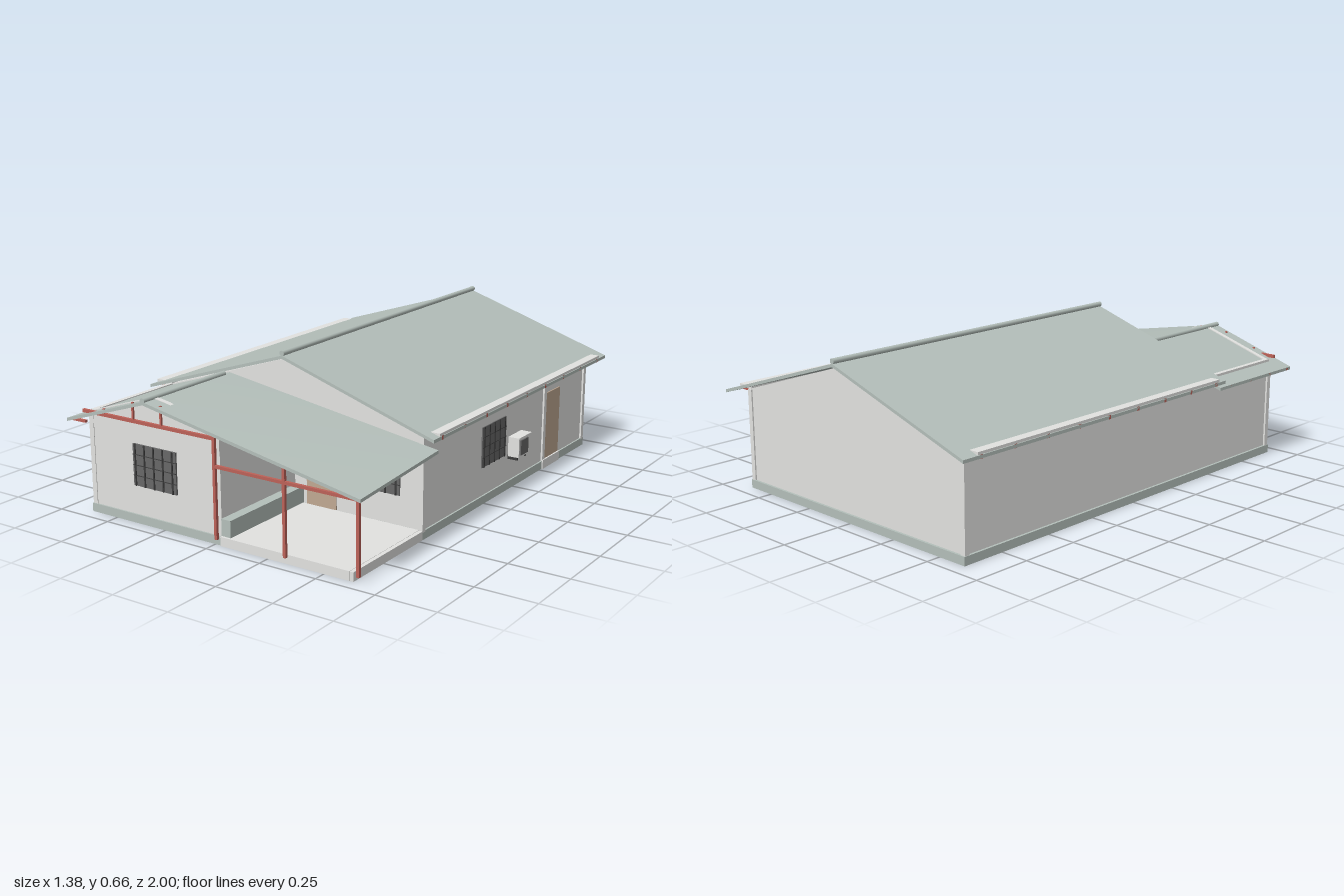
import * as THREE from 'three';

const mat = (name, color, side = THREE.FrontSide) => {
  const m = new THREE.MeshStandardMaterial({ color, side });
  m.name = name;
  return m;
};

export function createModel() {
  const house = new THREE.Group();
  house.name = 'house';
  const wall = mat('wall plaster', 0xe2e2e0);
  const roof = mat('grey green roof', 0xb4bfba);
  const steel = mat('red steel', 0xbc6258);
  const wood = mat('door wood', 0xc0a892);
  const glass = mat('dark glass', 0x686868);
  const bar = mat('window bar', 0x3c3c3c);

  const add = (name, geo, m, parent = house) => {
    const mesh = new THREE.Mesh(geo, m);
    mesh.name = name;
    parent.add(mesh);
    return mesh;
  };
  // Box given by its lower and upper limits on each axis
  const box = (name, m, x0, x1, y0, y1, z0, z1, parent) => {
    const g = new THREE.BoxGeometry(x1 - x0, y1 - y0, z1 - z0);
    g.translate((x0 + x1) / 2, (y0 + y1) / 2, (z0 + z1) / 2);
    return add(name, g, m, parent);
  };
  // Upright outline in x, y extruded from z0 to z1
  const prism = (name, m, pts, z0, z1) => {
    const shape = new THREE.Shape(pts.map(p => new THREE.Vector2(...p)));
    const g = new THREE.ExtrudeGeometry(shape, { depth: z1 - z0, bevelEnabled: false });
    g.translate(0, 0, z0);
    return add(name, g, m);
  };
  // Roof sheet: heights at the corners [left back, right back, left front, right front]
  const sheet = (name, x0, x1, z0, z1, h, t = 0.013) => {
    const g = new THREE.BoxGeometry(1, 1, 1);
    const p = g.attributes.position;
    for (let i = 0; i < p.count; i++) {
      const r = p.getX(i) > 0, f = p.getZ(i) > 0;
      const top = h[(r ? 1 : 0) + (f ? 2 : 0)];
      p.setXYZ(i, r ? x1 : x0, p.getY(i) > 0 ? top : top - t, f ? z1 : z0);
    }
    g.computeVertexNormals();
    return add(name, g, roof);
  };
  const ridge = (name, x, y, z0, z1) => {
    const g = new THREE.CylinderGeometry(0.011, 0.011, z1 - z0, 12);
    g.rotateX(Math.PI / 2);
    add(name, g, roof).position.set(x, y, (z0 + z1) / 2);
  };

  // Main body and front room
  prism('mainBody', wall, [[-0.62, 0.01], [0.62, 0.01], [0.62, 0.42], [0, 0.622], [-0.62, 0.42]], -0.93, 0.473);
  box('frontRoom', wall, -0.62, 0.025, 0.01, 0.385, 0.47, 0.938);
  box('frontRoomLeftWall', wall, -0.62, -0.6, 0.38, 0.426, 0.47, 0.935);
  box('frontRoomRightWall', wall, 0.005, 0.027, 0.03, 0.448, 0.47, 0.938);
  prism('frontRoomGable', wall, [[-0.62, 0.37], [0.027, 0.37], [0.027, 0.448], [-0.22, 0.513],
    [-0.29, 0.525], [-0.62, 0.42]], 0.92, 0.94);

  // Base band, porch floor, side step and low porch bench
  box('mainPlinth', roof, -0.63, 0.627, 0, 0.035, -0.94, 0.48);
  box('frontRoomPlinth', roof, -0.63, 0.028, 0, 0.035, 0.475, 0.945);
  box('porchFloor', wall, 0.028, 0.61, 0, 0.037, 0.478, 0.95);
  box('porchFloorEdge', wall, 0.6, 0.627, 0, 0.036, 0.481, 0.949);
  box('sideStep', wall, 0.6, 0.632, 0, 0.04, -0.68, -0.52);
  box('porchBench', roof, 0.027, 0.07, 0.03, 0.105, 0.47, 0.94);

  // Corner and wall pilasters
  for (const [x, z, h] of [[-1, -0.925, 0.42], [1, -0.925, 0.42], [1, 0.471, 0.42], [1, -0.532, 0.42], [-1, 0.93, 0.405]]) {
    const c = x * 0.617;
    box('pilaster', wall, c - 0.011, c + 0.011, 0.03, h, z - 0.011, z + 0.011);
  }

  // Main roof
  sheet('mainRoofLeft', -0.69, 0, -1, 0.515, [0.418, 0.639, 0.418, 0.639]);
  sheet('mainRoofRight', 0, 0.69, -1, 0.515, [0.639, 0.418, 0.639, 0.418]);
  ridge('mainRidgeCap', 0, 0.648, -1, 0.515);

  // Front roof, whose right sheet twists down toward the porch corner
  sheet('frontRoofLeft', -0.69, -0.29, 0.48, 1, [0.393, 0.522, 0.393, 0.522]);
  sheet('frontRoofRight', -0.29, 0.69, 0.48, 1, [0.522, 0.37, 0.522, 0.336]);
  ridge('frontRidgeCap', -0.29, 0.525, 0.515, 1);

  // Eave strips and rafter ends on both sides
  for (const s of [-1, 1]) {
    const a = Math.min(s * 0.61, s * 0.69), b = Math.max(s * 0.61, s * 0.69);
    box('eaveStrip', wall, a, b, 0.42, 0.431, -0.93, 0.47);
    for (let i = 0; i < 9; i++) {
      const z = -0.91 + i * 0.17;
      box('rafterEnd', steel, a, b, 0.404, 0.42, z - 0.006, z + 0.006);
    }
  }
  for (const z of [0.56, 0.7, 0.84, 0.975])
    box('frontRafterEnd', steel, -0.69, -0.61, 0.381, 0.391, z - 0.006, z + 0.006);

  // Red porch frame
  const zf = 0.977, r = 0.006;
  for (const [x, top] of [[0.033, 0.447], [0.35, 0.39], [0.667, 0.33]])
    box('porchPost', steel, x - r, x + r, 0.037, top, zf - r, zf + r);
  box('upperBeam', steel, -0.62, 0.039, 0.424, 0.437, zf - r, zf + r);
  box('porchBeam', steel, 0.033, 0.673, 0.318, 0.33, zf - r, zf + r);
  box('sideBeam', steel, 0.661, 0.673, 0.318, 0.33, 0.9, zf);
  for (const [x, top] of [[-0.51, 0.455], [-0.36, 0.505], [-0.22, 0.512]])
    box('roofStrut', steel, x - 0.004, x + 0.004, 0.435, top, zf - 0.004, zf + 0.004);

  // Barred window, built facing +z around its centre
  const windowUnit = (name, w, h) => {
    const g = new THREE.Group();
    g.name = name;
    box('windowPane', glass, -w / 2, w / 2, -h / 2, h / 2, -0.002, 0.005, g);
    for (let i = 0; i < 5; i++) {
      const x = w * (-0.44 + i * 0.215);
      box('verticalBar', bar, x - 0.003, x + 0.003, -h / 2, h / 2, 0.004, 0.009, g);
    }
    for (const y of [-0.25, 0, 0.25])
      box('crossBar', bar, -w / 2, w / 2, y * h - 0.0012, y * h + 0.0012, 0.004, 0.008, g);
    house.add(g);
    return g;
  };
  windowUnit('frontRoomWindow', 0.216, 0.17).position.set(-0.292, 0.241, 0.94);
  windowUnit('porchWindow', 0.216, 0.17).position.set(0.413, 0.241, 0.473);
  const side = windowUnit('sideWindow', 0.2, 0.17);
  side.position.set(0.62, 0.241, -0.08);
  side.rotation.y = Math.PI / 2;

  // Doors
  box('porchDoor', wood, 0.088, 0.228, 0.036, 0.345, 0.47, 0.479);
  box('sideDoor', wood, 0.616, 0.625, 0.04, 0.336, -0.678, -0.545);

  // Outdoor cooling unit on brackets
  const unit = new THREE.Group();
  unit.name = 'coolingUnit';
  house.add(unit);
  box('unitCase', wall, 0.63, 0.68, 0.15, 0.234, -0.305, -0.192, unit);
  box('unitGrille', glass, 0.679, 0.686, 0.16, 0.224, -0.265, -0.2, unit);
  for (const z of [-0.212, -0.286])
    box('unitBracket', bar, 0.618, 0.665, 0.132, 0.15, z - 0.004, z + 0.004, unit);

  return house;
}
